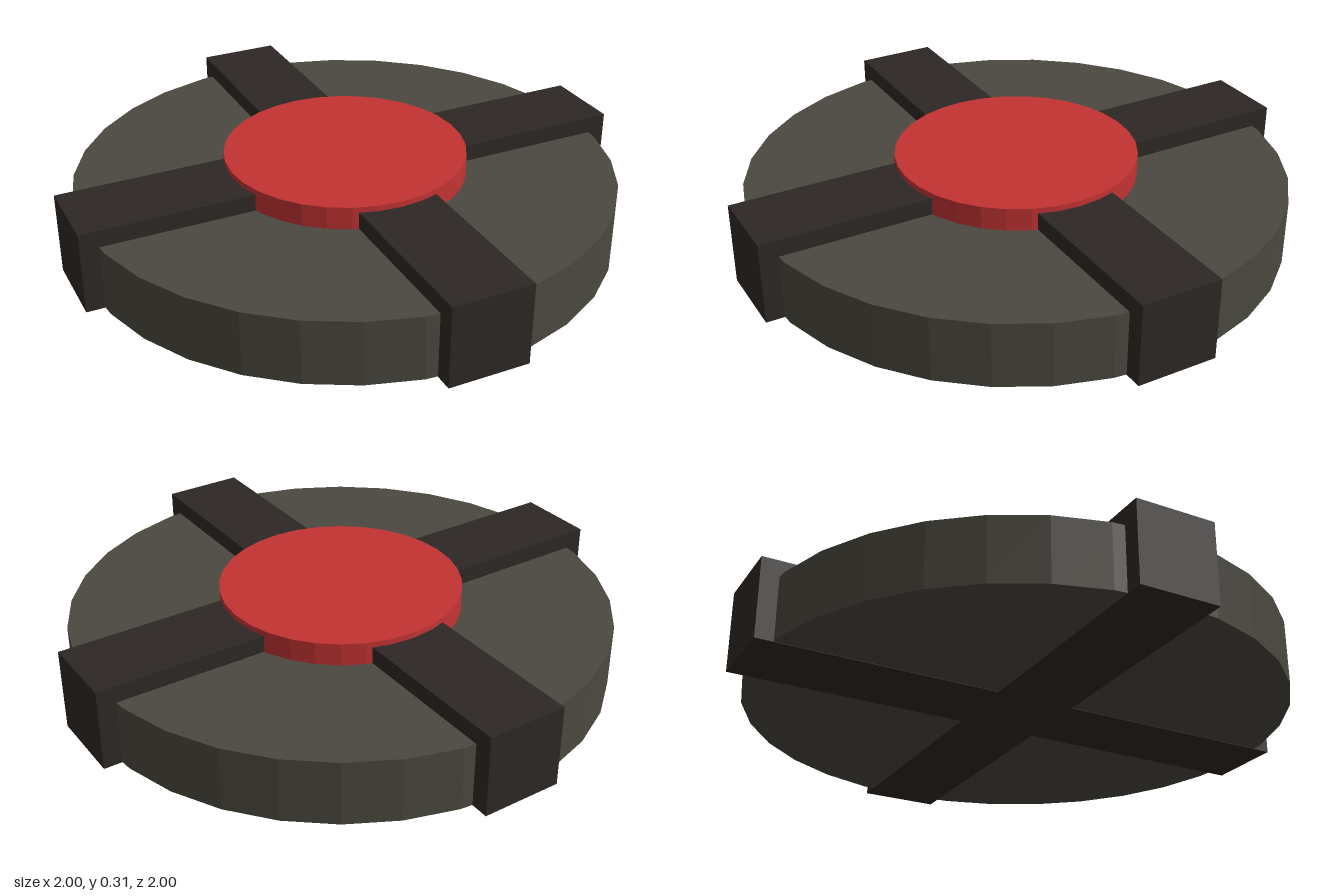
import * as THREE from 'three';

function mesh(name, geometry, color) {
  const m = new THREE.Mesh(geometry, new THREE.MeshStandardMaterial({ color, flatShading: true }));
  m.name = name;
  return m;
}

// Upright 32-sided disc between two heights
function disc(name, radius, bottom, top, color) {
  const m = mesh(name, new THREE.CylinderGeometry(radius, radius, top - bottom, 32), color);
  m.position.y = (bottom + top) / 2;
  return m;
}

export function createModel() {
  const group = new THREE.Group();

  // Round body, its underside a hair above the ground so the cross shows cleanly
  group.add(disc('body', 0.95, 0.001, 0.23, 0x4a483f));

  // Cross of two bars as one solid: trace each quarter's three corners
  const w = 0.1425, corners = [];
  for (let i = 0; i < 4; i++) {
    for (const [x, y] of [[1, -w], [1, w], [w, w]]) {
      corners.push(new THREE.Vector2(x, y).rotateAround(new THREE.Vector2(), i * Math.PI / 2));
    }
  }
  const crossGeometry = new THREE.ExtrudeGeometry(new THREE.Shape(corners), { depth: 0.29, bevelEnabled: false });
  crossGeometry.rotateX(-Math.PI / 2);
  group.add(mesh('crossBars', crossGeometry, 0x2d2824));

  // Central push button
  group.add(disc('button', 0.425, 0.2, 0.31, 0xc43333));

  return group;
}
